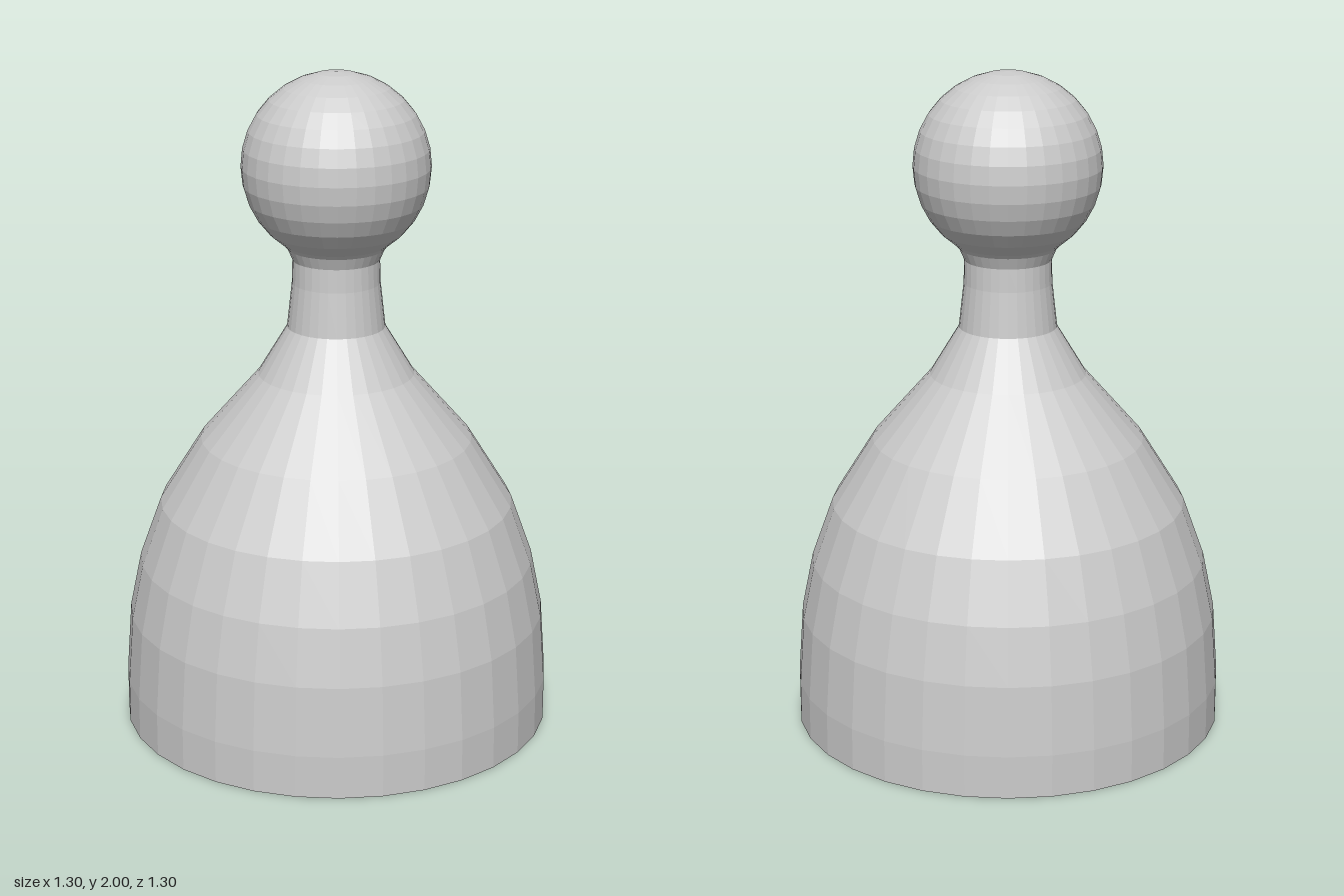
import * as THREE from 'three';

const SIDES = 32;

export function createModel() {
  const group = new THREE.Group();
  const material = new THREE.MeshStandardMaterial({ color: 0xcccccc, flatShading: true });

  const addPart = (name, geometry, y = 0) => {
    const mesh = new THREE.Mesh(geometry, material);
    mesh.name = name;
    mesh.position.y = y;
    group.add(mesh);
  };

  // Hollow bell body: down the inner cavity, across the rim, up the outside to the neck
  const cavity = [[0, 1.0], [0.2, 0.95], [0.38, 0.8], [0.49, 0.63], [0.515, 0.45], [0.515, 0]];
  const outside = [
    [0.65, 0], [0.65, 0.13], [0.635, 0.34], [0.6, 0.51], [0.535, 0.69], [0.41, 0.89],
    [0.235, 1.09], [0.147, 1.235], [0.132, 1.37], [0.13, 1.44], [0.145, 1.475], [0.17, 1.505],
  ];
  const profile = [...cavity, ...outside].map(([r, y]) => new THREE.Vector2(r, y));
  addPart('body', new THREE.LatheGeometry(profile, SIDES));

  // Ball head
  addPart('head', new THREE.SphereGeometry(0.28, SIDES, SIDES / 2), 1.72);

  return group;
}
